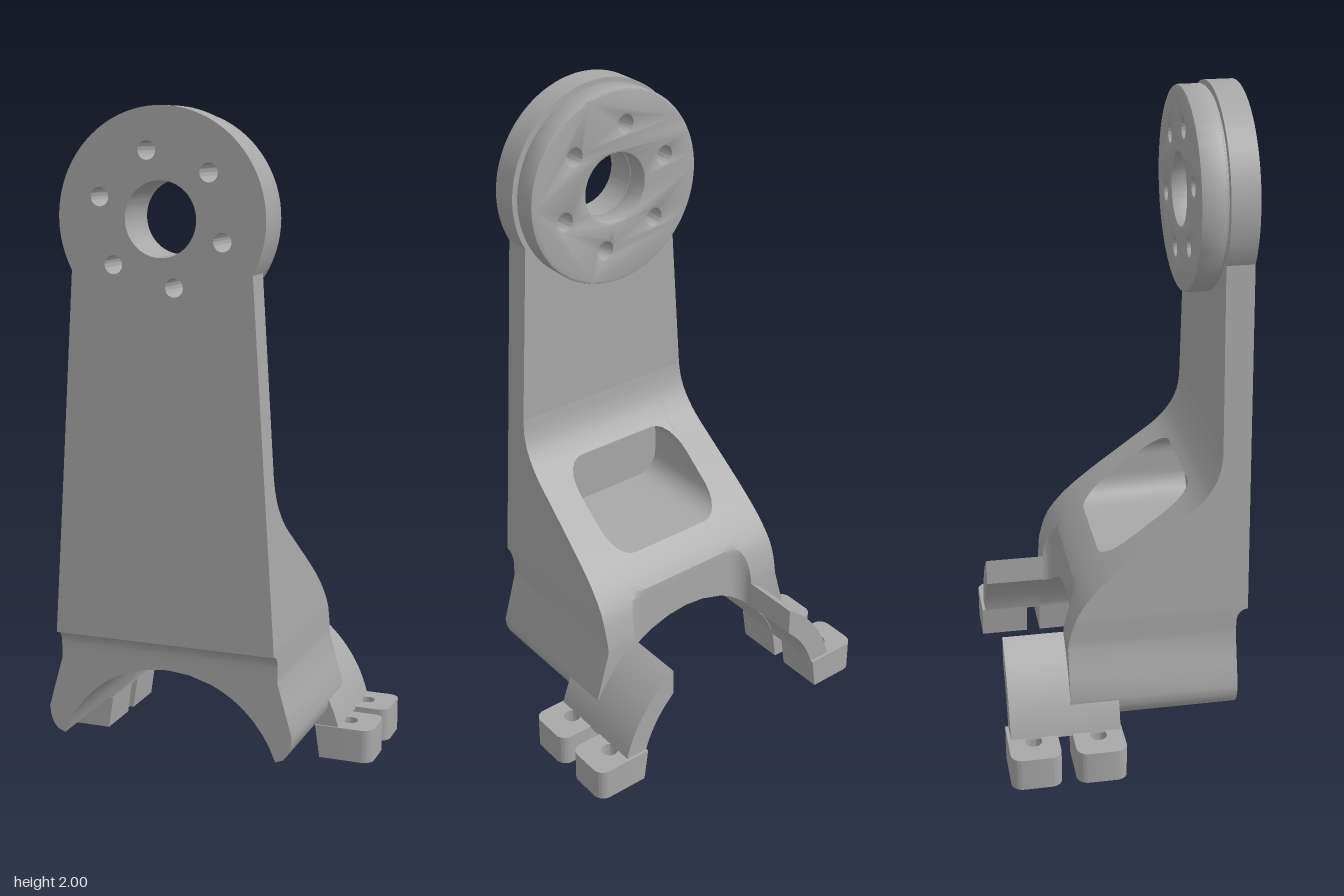
import * as THREE from 'three';
import { toCreasedNormals } from 'three/addons/utils/BufferGeometryUtils.js';

const HEAD_Y = 1.69, ARCH_R = 0.36;
const { lerp, clamp } = THREE.MathUtils;

// Side profile of the sloping back: z as a function of height
const slope = new THREE.SplineCurve([
  [0.295, 0.965], [0.288, 0.913], [0.266, 0.86], [0.219, 0.802], [0.14, 0.739], [0.003, 0.633],
  [-0.087, 0.554], [-0.145, 0.48], [-0.172, 0.406], [-0.18, 0.36],
].map(p => new THREE.Vector2(...p))).getPoints(90);
function slopeZ(y) {
  if (y >= slope[0].y) return slope[0].x;
  for (let i = 1; i < slope.length; i++) {
    const a = slope[i - 1], b = slope[i];
    if (y >= b.y) return lerp(b.x, a.x, (y - b.y) / (a.y - b.y));
  }
  return -0.18;
}

// Front face steps back through a small fillet below the plate
function frontZ(y) {
  if (y >= 0.45) return 0.38;
  const t = clamp((y - 0.41) / 0.04, 0, 1);
  return 0.345 + 0.035 * (1 - Math.sqrt(1 - t * t));
}

// Half width: tapering plate, flared skirt, rounded lower edge
function halfWidth(y) {
  if (y >= 0.45) return 0.345 - 0.07 * (y - 0.45) / 1.08;
  if (y >= 0.36) return 0.345;
  if (y >= 0.2) return 0.345 + 0.045 * (0.36 - y) / 0.16;
  return 0.34 + 0.05 * Math.sqrt(Math.max(0, 1 - ((0.2 - y) / 0.08) ** 2));
}

// Rear limit: shallow cutout between the saddles with rounded corners
function rearLimit(x) {
  const t = clamp((x - 0.18) / 0.06, 0, 1);
  return -0.135 - 0.045 * (1 - Math.sqrt(1 - t * t));
}

const span = (a, b, n) => Array.from({ length: n + 1 }, (_, i) => lerp(a, b, i / n));

// One cross-section of the base: rear points downwards, then front points upwards
function section({ x, pocket, edge }, side) {
  const r = 0.075, d = clamp(x - 0.14, 0, r);
  const round = r - Math.sqrt(Math.max(0, r * r - d * d));
  const floor = 0.585 + round, ceiling = 0.81 - round;
  const bottom = edge ? 0.12 : Math.max(0.12, Math.sqrt(Math.max(0, ARCH_R ** 2 - x * x)));
  const rear = [];
  const add = (y, z) => rear.push([Math.max(y, bottom), z]);
  const onSlope = y => add(y, Math.max(slopeZ(Math.max(y, bottom)), rearLimit(x)));
  span(0.965, ceiling, 14).forEach(onSlope);
  span(ceiling, floor, 8).forEach(y => (pocket ? add(y, 0.3) : onSlope(y)));
  span(floor, 0.485, 8).forEach(onSlope);
  [0.468, 0.45, 0.4499, 0.447, 0.44, 0.43, 0.42, 0.41, 0.385, 0.36, 0.28, 0.2, 0.17, 0.145, 0.13, 0.12]
    .forEach(onSlope);
  const place = (y, z) => {
    const w = halfWidth(y);
    const px = edge ? w : x <= 0.24 ? x : 0.24 + (x - 0.24) * (Math.min(w, 0.345) - 0.24) / 0.105;
    return [side * px, y, z];
  };
  return [...rear.map(([y, z]) => place(y, z)),
    ...rear.slice().reverse().map(([y]) => place(y, frontZ(y)))];
}

// Hollowed base, skinned across sections from right to left
function baseGeometry() {
  const half = [0, 0.07, 0.14, ...[1, 2, 3, 4, 5, 6].map(k => 0.14 + 0.075 * Math.sin(k * Math.PI / 12))]
    .map(x => ({ x, pocket: true }));
  [0.215, 0.225, 0.233, 0.238, 0.24, 0.27, 0.3, 0.32, 0.337].forEach(x => half.push({ x }));
  half.push({ x: 0.345, edge: true });
  const rings = [...half.slice(1).reverse().map(c => section(c, -1)), ...half.map(c => section(c, 1))];
  const n = rings[0].length, last = rings.length - 1, index = [];
  const quad = (a, b, c, d) => index.push(a, b, d, b, c, d);
  for (let i = 0; i < last; i++) {
    for (let j = 0; j < n; j++) {
      const k = (j + 1) % n;
      quad(i * n + j, (i + 1) * n + j, (i + 1) * n + k, i * n + k);
    }
  }
  // side walls
  for (let j = 0; j < n / 2 - 1; j++) {
    const f = n - 1 - j, o = last * n;
    quad(o + j, o + f, o + f - 1, o + j + 1);
    quad(f, j, j + 1, f - 1);
  }
  const g = new THREE.BufferGeometry();
  g.setAttribute('position', new THREE.Float32BufferAttribute(rings.flat(2), 3));
  g.setIndex(index);
  return g;
}

const circle = (x, y, r) => new THREE.Path().absarc(x, y, r, 0, Math.PI * 2, true);

// Centre bore and ring of six bolt holes
function drillHead(shape) {
  shape.holes.push(circle(0, HEAD_Y, 0.108));
  for (let i = 0; i < 6; i++) {
    const a = (42 + 60 * i) * Math.PI / 180;
    shape.holes.push(circle(0.195 * Math.cos(a), HEAD_Y + 0.195 * Math.sin(a), 0.027));
  }
  return shape;
}

function extrude(shape, z0, z1, bevel = 0) {
  const g = new THREE.ExtrudeGeometry(shape, {
    depth: z1 - z0 - 2 * bevel, curveSegments: 40, bevelEnabled: bevel > 0,
    bevelThickness: bevel, bevelSize: bevel, bevelOffset: -bevel, bevelSegments: 2,
  });
  return g.translate(0, 0, z0 + bevel);
}

// Mounting foot, lying flat, with rounded outer corners and a bolt hole
function footGeometry() {
  const w = 0.0775, r = 0.035, x0 = 0.362, x1 = 0.53;
  const s = new THREE.Shape();
  s.moveTo(x0, -w).lineTo(x1 - r, -w);
  s.absarc(x1 - r, -w + r, r, -Math.PI / 2, 0, false);
  s.absarc(x1 - r, w - r, r, 0, Math.PI / 2, false);
  s.lineTo(x0, w);
  s.holes.push(circle(0.438, 0, 0.026));
  const g = extrude(s, 0, 0.105).rotateX(-Math.PI / 2);
  const p = g.attributes.position;
  for (let i = 0; i < p.count; i++) {
    if (p.getX(i) < 0.37) p.setX(i, Math.sqrt(x0 * x0 - p.getY(i) ** 2));
  }
  return g;
}

// Curved saddle that joins the feet to the base
function saddleGeometry() {
  const R = 0.433, r = 0.362, x = 0.24, y = 0.1;
  const s = new THREE.Shape();
  s.absarc(0, 0, R, Math.asin(y / R), Math.acos(x / R), false);
  s.absarc(0, 0, r, Math.acos(x / r), Math.asin(y / r), true);
  return extrude(s, -0.17, 0.17);
}

export function createModel() {
  const model = new THREE.Group();
  model.name = 'motorBracket';
  const grey = new THREE.MeshStandardMaterial({ color: 0xa8a8a8 });
  grey.name = 'metalGrey';
  const add = (name, geometry, z = 0) => {
    const m = new THREE.Mesh(toCreasedNormals(geometry, 0.5), grey);
    m.name = name;
    m.position.z = z;
    model.add(m);
  };

  add('base', baseGeometry());

  // Upright plate with round head
  const plate = new THREE.Shape();
  const a = Math.asin(0.149 / 0.313), w = halfWidth(0.965);
  plate.moveTo(-w, 0.965).lineTo(w, 0.965);
  plate.absarc(0, HEAD_Y, 0.313, -a, Math.PI + a, false);
  add('uprightPlate', extrude(drillHead(plate), 0.295, 0.38));

  // Bearing disc behind the head, on a narrow neck
  const disc = new THREE.Shape().absarc(0, HEAD_Y, 0.303, 0, Math.PI * 2, false);
  add('bearingDisc', extrude(drillHead(disc), 0.213, 0.289, 0.007));
  const neck = new THREE.Shape().absarc(0, HEAD_Y, 0.292, 0, Math.PI * 2, false);
  add('discNeck', extrude(drillHead(neck), 0.285, 0.297));

  // Saddles and feet on both sides
  for (const [side, turn] of [['left', 0], ['right', Math.PI]]) {
    add(side + 'Saddle', saddleGeometry().rotateY(turn), -0.2);
    add(side + 'FrontFoot', footGeometry().rotateY(turn), -0.1025);
    add(side + 'RearFoot', footGeometry().rotateY(turn), -0.3025);
  }
  return model;
}
